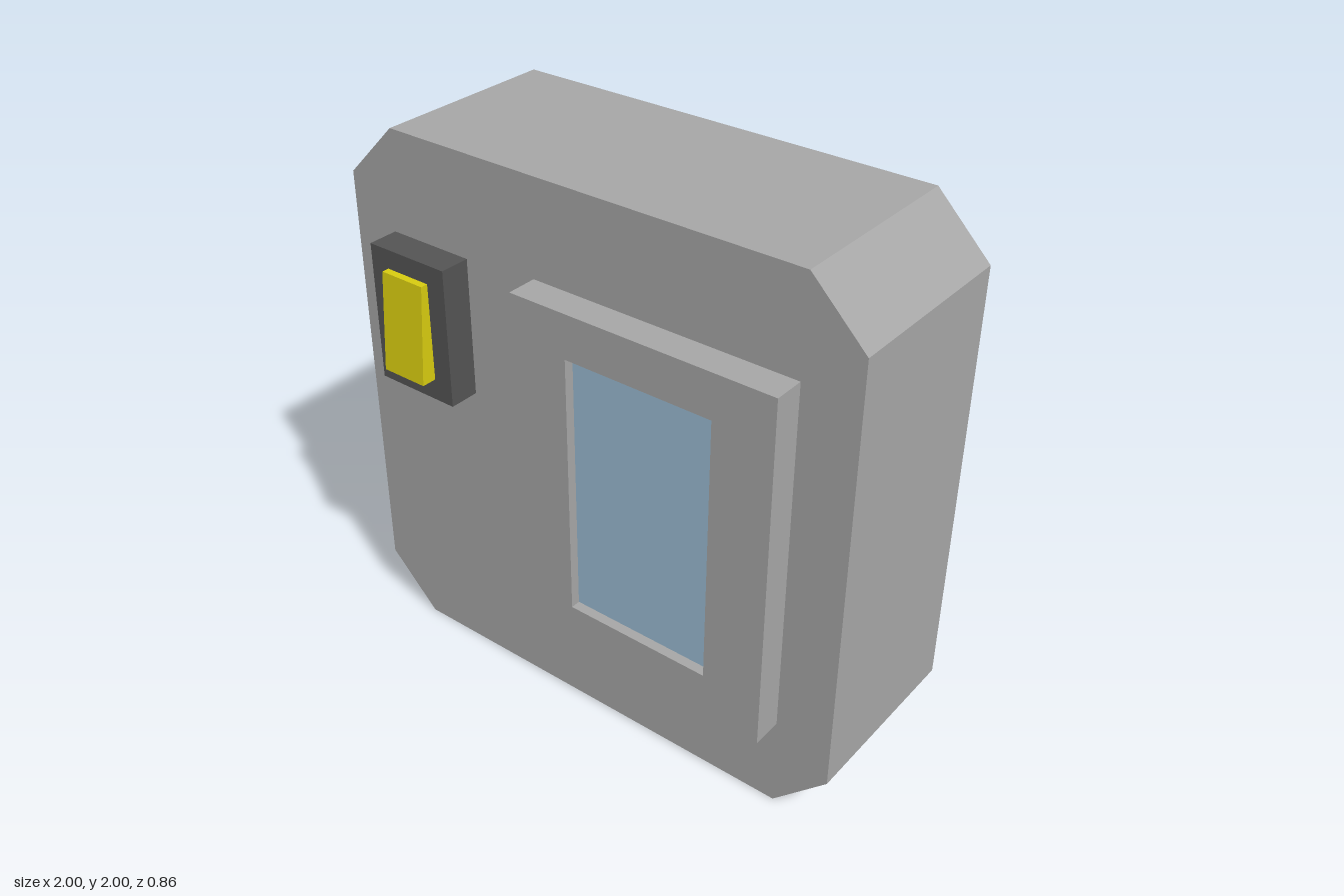
import * as THREE from 'three';

const material = (name, color) => {
  const m = new THREE.MeshStandardMaterial({ color });
  m.name = name;
  return m;
};

// Flat-sided plate: an outline in x/y (with optional hole) extruded from z0 to z1.
function plate(name, points, z0, z1, mat, hole) {
  const toVectors = (list) => list.map(([x, y]) => new THREE.Vector2(x, y));
  const shape = new THREE.Shape(toVectors(points));
  if (hole) shape.holes.push(new THREE.Path(toVectors(hole).reverse()));
  const geometry = new THREE.ExtrudeGeometry(shape, { depth: z1 - z0, bevelEnabled: false });
  geometry.translate(0, 0, z0);
  const mesh = new THREE.Mesh(geometry, mat);
  mesh.name = name;
  return mesh;
}

const rect = (x0, x1, y0, y1) => [[x0, y0], [x1, y0], [x1, y1], [x0, y1]];

export function createModel() {
  const grey = material('casing grey', 0xa6a6a6);
  const dark = material('dark grey', 0x545454);
  const yellow = material('switch yellow', 0xd8cc10);
  const blue = material('glass blue', 0x9abbd2);

  const group = new THREE.Group();
  group.name = 'wallUnit';
  const back = -0.43, front = 0.265, raised = 0.378;

  // Casing with cut corners
  const octagon = [
    [-0.8, 0], [0.8, 0], [1, 0.2], [1, 1.8],
    [0.8, 2], [-0.8, 2], [-1, 1.8], [-1, 0.2],
  ];
  group.add(plate('casing', octagon, back, front, grey));

  // Raised window frame with a recessed pane
  const opening = rect(0.02, 0.575, 0.51, 1.49);
  group.add(plate('windowFrame', rect(-0.2, 0.795, 0.345, 1.65), front, raised, grey, opening));
  group.add(plate('windowPane', opening, front, 0.342, blue));

  // Switch housing
  group.add(plate('switchHousing', rect(-0.82, -0.49, 1.12, 1.63), front, raised, dark));

  // Rocker switch, its front face leaning out toward the bottom
  const rocker = plate('rockerSwitch', rect(-0.745, -0.565, 1.2, 1.56), raised, 0.434, yellow);
  const pos = rocker.geometry.attributes.position;
  for (let i = 0; i < pos.count; i++) {
    if (pos.getZ(i) > 0.4 && pos.getY(i) > 1.4) pos.setZ(i, 0.405);
  }
  rocker.geometry.computeVertexNormals();
  group.add(rocker);

  return group;
}
